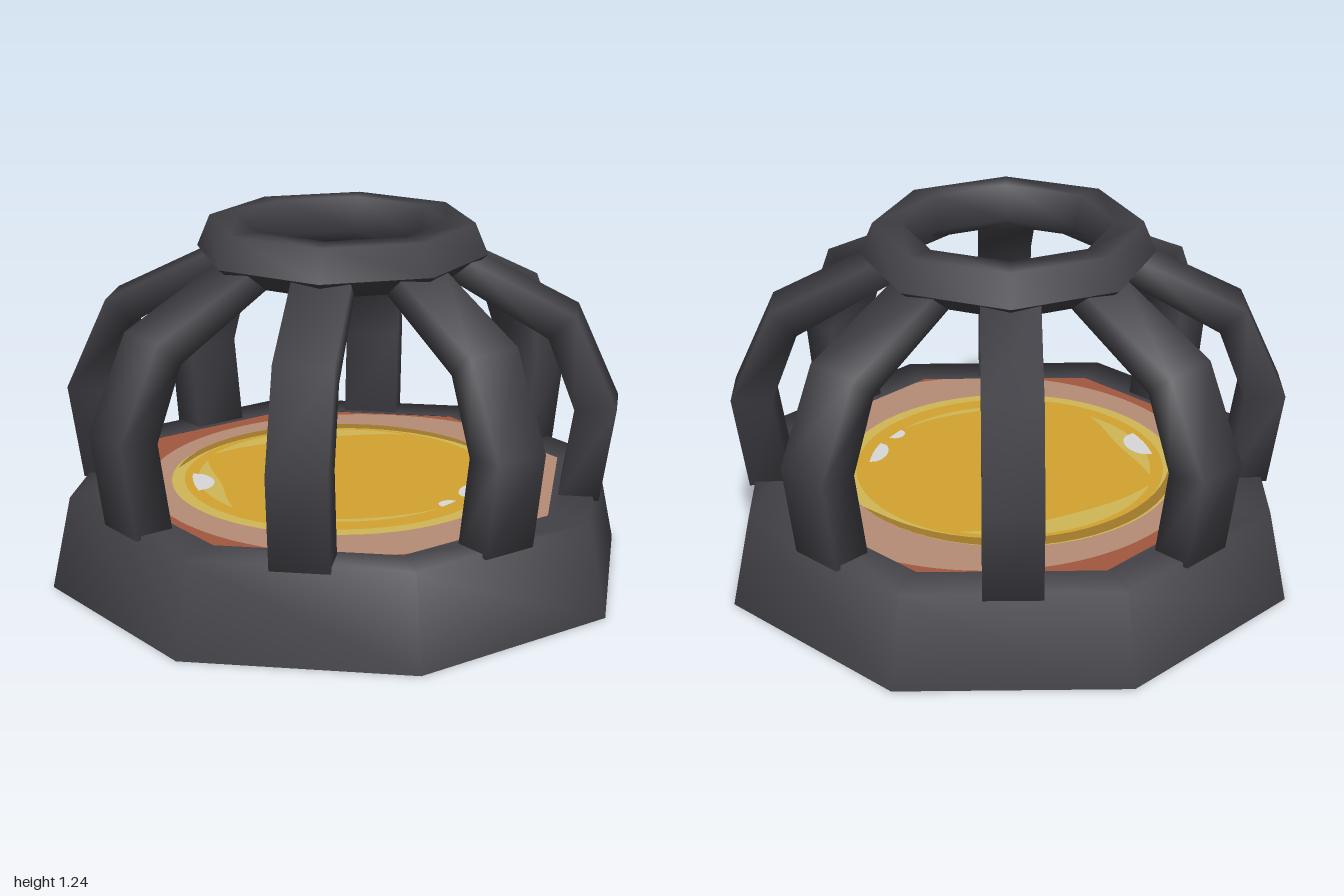
import * as THREE from 'three';

const STEP = Math.PI / 4;
const TURN = Math.PI / 16;
const PLATE_Y = 0.315;

function material(name, color) {
  const m = new THREE.MeshStandardMaterial({ color, side: THREE.DoubleSide });
  m.name = name;
  return m;
}

// Eight-sided ring from a (radius, height) profile
function octagonRing(profile, phiStart) {
  return new THREE.LatheGeometry(profile.map(([r, y]) => new THREE.Vector2(r, y)), 8, phiStart);
}

// Bent cage bar: rectangular sections given as [outerR, outerY, innerR, innerY]
function barGeometry(sections, halfWidth) {
  const pos = [], index = [];
  sections.forEach(([ro, yo, ri, yi], i) => {
    pos.push(ro, yo, halfWidth, ro, yo, -halfWidth, ri, yi, -halfWidth, ri, yi, halfWidth);
    if (i === 0) return;
    for (let j = 0; j < 4; j++) {
      const p = (i - 1) * 4 + j, q = (i - 1) * 4 + (j + 1) % 4;
      index.push(p, q, q + 4, p, q + 4, p + 4);
    }
  });
  const n = (sections.length - 1) * 4;
  index.push(0, 2, 1, 0, 3, 2, n, n + 1, n + 2, n, n + 2, n + 3);
  const g = new THREE.BufferGeometry();
  g.setAttribute('position', new THREE.Float32BufferAttribute(pos, 3));
  g.setIndex(index);
  g.computeVertexNormals();
  return g;
}

// Flat outline laid in the xz plane
function flat(points) {
  return new THREE.ShapeGeometry(new THREE.Shape(points)).rotateX(Math.PI / 2);
}

// Distance from the centre to the octagon edge at angle a
function octagonRadius(a, r) {
  const d = a - TURN - Math.round((a - TURN) / STEP) * STEP;
  return r * Math.cos(STEP / 2) / Math.cos(d);
}

// Circle centred at (cx, cz), cut off where it passes the octagon
function clippedCircle(cx, cz, r, limit) {
  const pts = [];
  for (let i = 0; i < 96; i++) {
    const a = i / 96 * Math.PI * 2;
    const along = cx * Math.cos(a) + cz * Math.sin(a);
    const reach = along + Math.sqrt(along * along + r * r - cx * cx - cz * cz);
    const d = Math.min(reach, octagonRadius(a, limit));
    pts.push(new THREE.Vector2(d * Math.cos(a), d * Math.sin(a)));
  }
  return flat(pts);
}

// Crescent along radius r, tapering to both ends (angles in degrees)
function crescent(r, width, from, to, power = 1) {
  const outer = [], inner = [], n = 24;
  for (let i = 0; i <= n; i++) {
    const a = THREE.MathUtils.degToRad(from + (to - from) * i / n);
    const w = width * (0.04 + Math.pow(Math.sin(Math.PI * i / n), power));
    outer.push(new THREE.Vector2(r * Math.cos(a), r * Math.sin(a)));
    inner.unshift(new THREE.Vector2((r - w) * Math.cos(a), (r - w) * Math.sin(a)));
  }
  return flat([...outer, ...inner]);
}

export function createModel() {
  const model = new THREE.Group();
  const iron = material('dark iron', 0x434248);
  const rust = material('rust red', 0xa2583f);
  const clay = material('pale clay', 0xb78d76);
  const pale = material('pale yellow', 0xd1b757);
  const gold = material('gold', 0xd3a42e);
  const olive = material('olive shade', 0xa07a2a);
  const white = material('highlight white', 0xd8d8d8);

  const add = (name, geometry, mat, parent = model) => {
    const mesh = new THREE.Mesh(geometry, mat);
    mesh.name = name;
    parent.add(mesh);
    return mesh;
  };

  // Flared base with a flat rim
  add('base', octagonRing([[1.02, 0], [0.953, 0.32], [0.8, 0.32]], TURN), iron);

  // Ring on top of the cage
  add('topRing', octagonRing([[0.5, 1.13], [0.455, 1.238], [0.36, 1.24], [0.335, 1.12],
    [0.42, 1.065], [0.5, 1.13]], TURN * 3), iron);

  // Cage bars
  const bar = barGeometry([
    [0.9, 0.305, 0.76, 0.305], [0.95, 0.63, 0.81, 0.62],
    [0.805, 0.95, 0.715, 0.87], [0.43, 1.135, 0.38, 1.065]], 0.098);
  for (let i = 0; i < 8; i++) {
    add('cageBar', bar, iron).rotation.y = -(TURN + i * STEP);
  }

  // Painted plate, layered on both its upper and lower face
  const octagon = [];
  for (let i = 0; i < 8; i++) {
    const a = -TURN + i * STEP;
    octagon.push(new THREE.Vector2(0.81 * Math.cos(a), 0.81 * Math.sin(a)));
  }
  const layers = [
    ['plateEdge', flat(octagon), rust, 0],
    ['plateField', clippedCircle(0.03, 0.07, 0.745, 0.81), clay, 1],
    ['glowRim', clippedCircle(-0.01, 0, 0.585, 0.81), pale, 2],
    ['glowCentre', clippedCircle(-0.01, 0, 0.54, 0.81), gold, 3],
    ['glowShade', crescent(0.58, 0.05, -125, 25, 0.6), olive, 4],
    ['glowBandBack', crescent(0.51, 0.09, -105, -15), pale, 4],
    ['glowBandSide', crescent(0.5, 0.07, -175, -115), pale, 4],
    ['glowBandFront', crescent(0.48, 0.025, 95, 165), pale, 4],
    ['highlightBack', crescent(0.52, 0.07, -152, -132, 0.4), white, 5],
    ['highlightFront', crescent(0.49, 0.05, 60, 78, 0.4), white, 5],
    ['highlightSmall', crescent(0.48, 0.035, 84, 93, 0.4), white, 5],
  ];
  for (const side of [1, -1]) {
    const plate = new THREE.Group();
    plate.name = side > 0 ? 'plateTop' : 'plateUnderside';
    for (const [name, geometry, mat, level] of layers) {
      add(name, geometry, mat, plate).position.y = PLATE_Y + side * (0.001 + level * 0.002);
    }
    model.add(plate);
  }
  return model;
}
